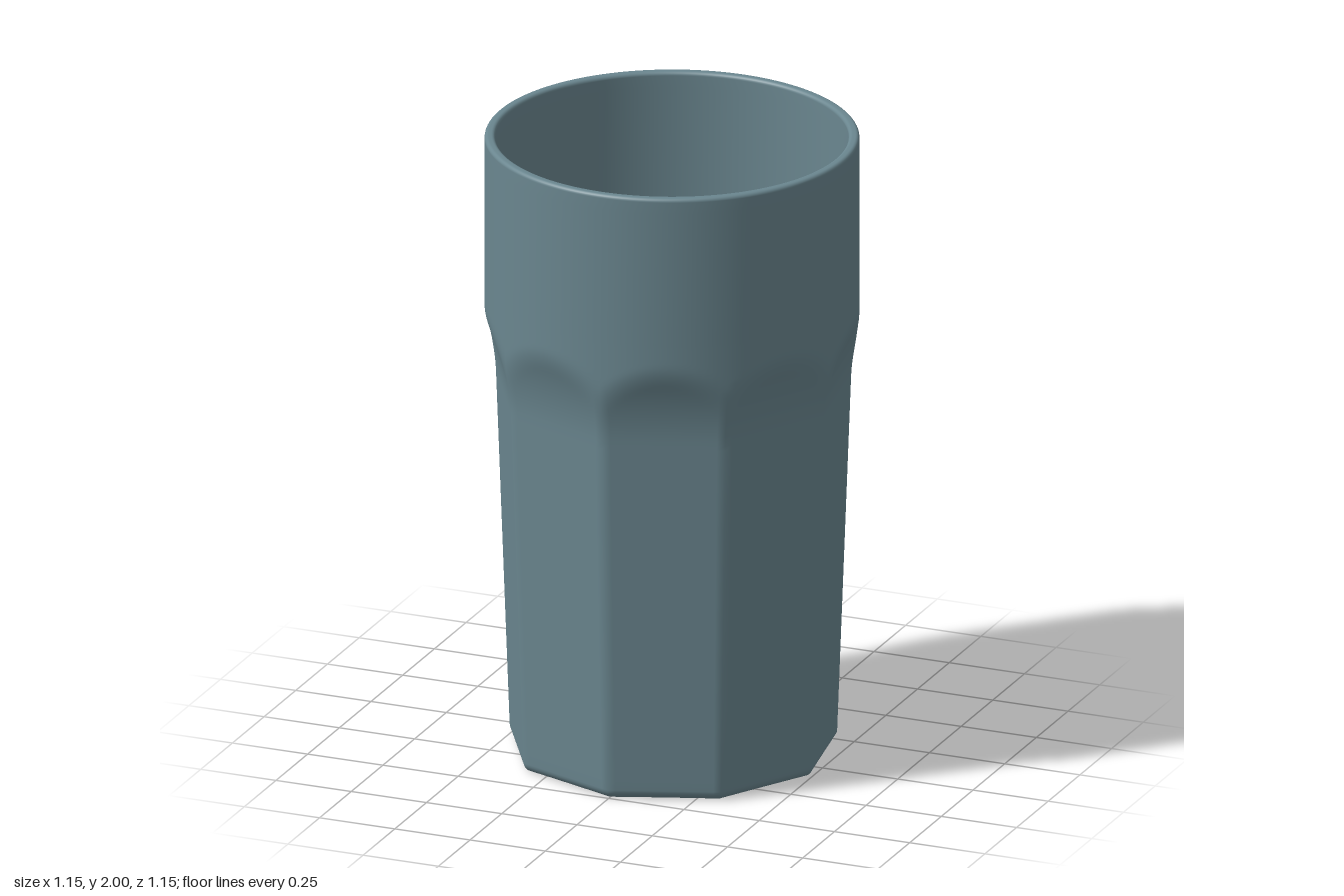
import * as THREE from 'three';

const SIDES = 9, PER_SIDE = 16, COLS = SIDES * PER_SIDE;
const ROUND = 0.574, WALL = 0.033, FLOOR = 0.04;

// Smooth minimum, softens the arch where a facet meets the round collar
function softMin(a, b, k) {
  const h = Math.max(k - Math.abs(a - b), 0) / k;
  return Math.min(a, b) - h * h * k / 4;
}

// Outer radius: tapering nine-sided body that flares into a round collar
function radiusAt(theta, y) {
  const step = 2 * Math.PI / SIDES;
  const offset = (theta % step) - step / 2;
  const t = Math.max(0, (y - 1.18) / 0.26);
  const apothem = 0.478 + 0.035 * y + 0.055 * t * t;
  return softMin(apothem / Math.cos(offset), ROUND, 0.016);
}

// Rows run from the underside centre, up the outside, over the rim and down inside
function profileRows() {
  const rows = [];
  const add = (y, inset = 0, scale = 1) => rows.push({ y, inset, scale });
  const wallHeights = [0.06, 0.3, 0.6, 0.9, 1.1];
  for (let y = 1.16; y < 1.53; y += 0.015) wallHeights.push(y);
  wallHeights.push(1.6, 1.8, 1.95);

  // Underside and rounded foot
  add(0, 0, 0);
  add(0, 0.05);
  for (let i = 0; i <= 6; i++) {
    const a = i / 6 * Math.PI / 2;
    add(0.03 * (1 - Math.cos(a)), 0.03 * (1 - Math.sin(a)));
  }
  // Outer wall
  wallHeights.forEach(y => add(y));
  // Rounded rim
  const lip = 0.012;
  for (let i = 0; i <= 5; i++) {
    const a = i / 5 * Math.PI / 2;
    add(2 - lip + lip * Math.sin(a), lip * (1 - Math.cos(a)));
  }
  for (let i = 0; i <= 5; i++) {
    const a = i / 5 * Math.PI / 2;
    add(2 - lip + lip * Math.cos(a), WALL - lip * (1 - Math.sin(a)));
  }
  // Inner wall, small fillet and floor
  wallHeights.reverse().forEach(y => add(y, WALL));
  for (let i = 0; i <= 4; i++) {
    const a = i / 4 * Math.PI / 2;
    add(FLOOR + 0.012 * (1 - Math.sin(a)), WALL + 0.012 * (1 - Math.cos(a)));
  }
  add(FLOOR, WALL + 0.03);
  add(FLOOR, 0, 0);
  return rows;
}

export function createModel() {
  const rows = profileRows();
  const positions = [], indices = [];
  rows.forEach(({ y, inset, scale }, i) => {
    for (let j = 0; j < COLS; j++) {
      const theta = j / COLS * 2 * Math.PI;
      const r = (radiusAt(theta, y) - inset) * scale;
      positions.push(r * Math.sin(theta), y, r * Math.cos(theta));
      if (i === rows.length - 1) continue;
      const k = (j + 1) % COLS;
      const a = i * COLS + j, b = i * COLS + k, c = b + COLS, d = a + COLS;
      if (scale > 0) indices.push(a, b, c);
      if (rows[i + 1].scale > 0) indices.push(a, c, d);
    }
  });
  const geometry = new THREE.BufferGeometry();
  geometry.setAttribute('position', new THREE.Float32BufferAttribute(positions, 3));
  geometry.setIndex(indices);
  geometry.computeVertexNormals();

  const tumbler = new THREE.Mesh(geometry, new THREE.MeshStandardMaterial({ color: 0x6a868f }));
  tumbler.name = 'tumbler';
  const group = new THREE.Group();
  group.name = 'drinkingGlass';
  group.add(tumbler);
  return group;
}
